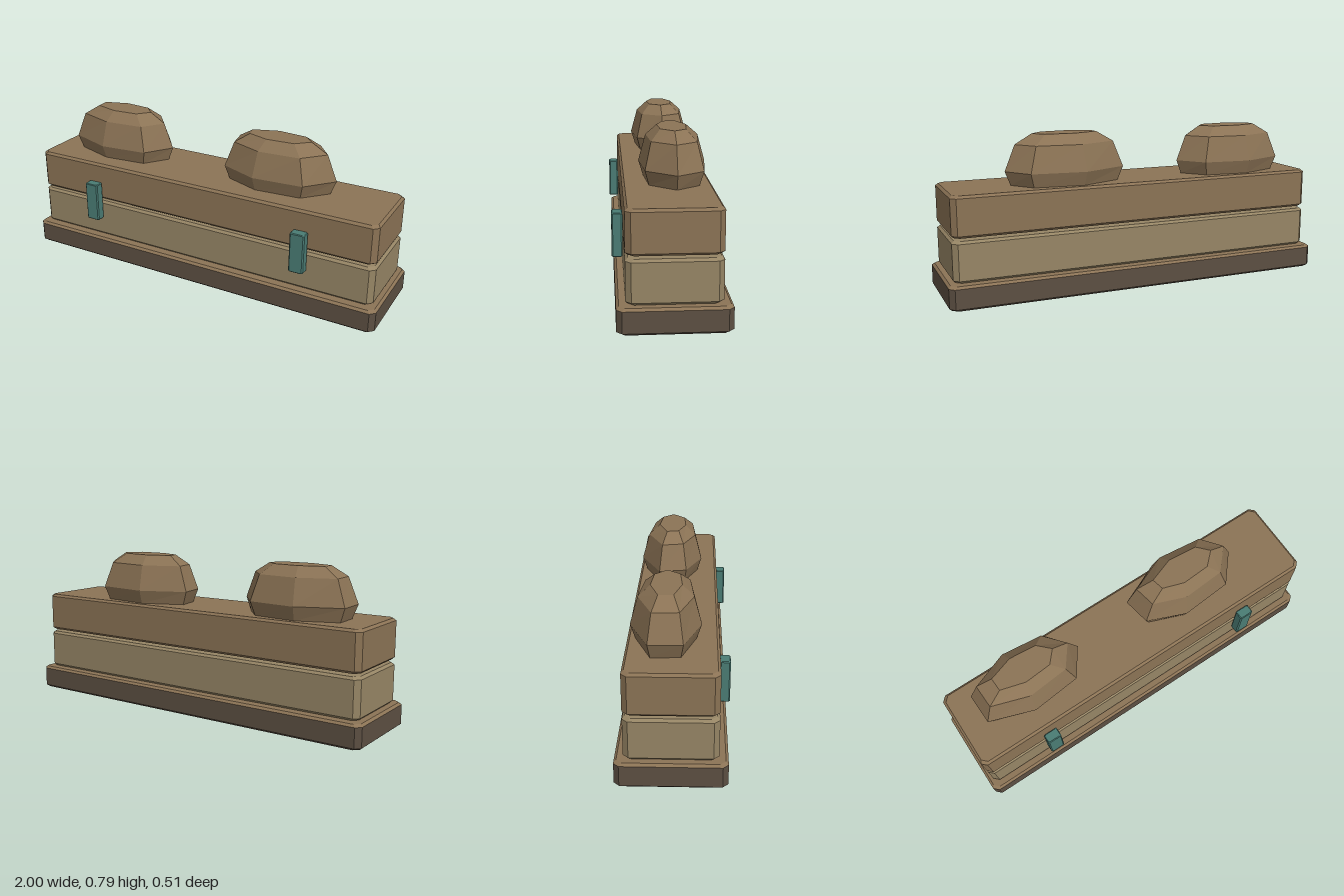
import * as THREE from 'three';

const TAN = 0x8b7355, PALE = 0x968565, DARK = 0x5c4f42, TEAL = 0x4a7c74;

// Flat-shaded solid through stacked rings (bottom to top), closed at both ends
function loft(name, rings, color) {
  const pos = [];
  const n = rings[0].length;
  const tri = (a, b, c) => pos.push(...a, ...b, ...c);
  for (let k = 0; k + 1 < rings.length; k++) {
    for (let i = 0; i < n; i++) {
      const j = (i + 1) % n, lo = rings[k], hi = rings[k + 1];
      tri(lo[i], hi[i], lo[j]);
      tri(lo[j], hi[i], hi[j]);
    }
  }
  const first = rings[0], last = rings[rings.length - 1];
  for (let i = 1; i + 1 < n; i++) {
    tri(first[0], first[i], first[i + 1]);
    tri(last[0], last[i + 1], last[i]);
  }
  const geo = new THREE.BufferGeometry();
  geo.setAttribute('position', new THREE.Float32BufferAttribute(pos, 3));
  geo.computeVertexNormals();
  const mesh = new THREE.Mesh(geo, new THREE.MeshStandardMaterial({ color, flatShading: true }));
  mesh.name = name;
  return mesh;
}

// Rectangle with cut corners, half sizes hx and hz
function cutRect(hx, hz, cut, y) {
  return [
    [hx, y, hz - cut], [hx - cut, y, hz], [cut - hx, y, hz], [-hx, y, hz - cut],
    [-hx, y, cut - hz], [cut - hx, y, -hz], [hx - cut, y, -hz], [hx, y, cut - hz],
  ];
}

// Box with cut upright corners and bevelled top and bottom edges
function block(name, hx, hz, y0, y1, cut, bevel, color) {
  const small = y => cutRect(hx - bevel, hz - bevel, cut, y);
  const full = y => cutRect(hx, hz, cut, y);
  return loft(name, [small(y0), full(y0 + bevel), full(y1 - bevel), small(y1)], color);
}

// Faceted boulder: its widest outline [x, z], scaled about a centre at each level
function boulder(name, outline, cx, cz) {
  const levels = [
    [0.525, 0.88, 0.82], [0.54, 0.91, 0.86], [0.61, 1, 1], [0.74, 0.83, 0.78], [0.79, 0.55, 0.44],
  ];
  const rings = levels.map(([y, sx, sz]) =>
    outline.map(([x, z]) => [cx + (x - cx) * sx, y, cz + (z - cz) * sz]));
  return loft(name, rings, TAN);
}

export function createModel() {
  const model = new THREE.Group();
  model.name = 'stoneWall';

  // Plinth with its lighter bevelled top
  const zMid = -0.005;
  const plinth = loft('plinth', [
    cutRect(0.986, 0.236, 0.025, 0), cutRect(1, 0.25, 0.025, 0.012), cutRect(1, 0.25, 0.025, 0.11),
  ], DARK);
  const plinthTop = loft('plinthTop', [
    cutRect(1, 0.25, 0.025, 0.11), cutRect(0.988, 0.238, 0.025, 0.121),
  ], TAN);

  // Two stone courses with a narrow gap between them
  const lower = block('lowerCourse', 0.97, 0.21, 0.123, 0.325, 0.025, 0.012, PALE);
  const upper = block('upperCourse', 0.97, 0.21, 0.338, 0.54, 0.025, 0.012, TAN);
  for (const part of [plinth, plinthTop, lower, upper]) {
    part.position.z = zMid;
    model.add(part);
  }

  // Clips across the front joint
  for (const [name, x] of [['rightClip', -0.602], ['leftClip', 0.598]]) {
    const clip = block(name, 0.038, 0.025, 0.23, 0.437, 0.006, 0.004, TEAL);
    clip.position.set(x, 0, 0.232);
    model.add(clip);
  }

  // Boulders on top
  model.add(boulder('rightBoulder', [
    [-0.84, -0.11], [-0.62, -0.2], [-0.37, -0.172], [-0.265, -0.04],
    [-0.36, 0.098], [-0.61, 0.124], [-0.835, 0.045],
  ], -0.56, -0.035));
  model.add(boulder('leftBoulder', [
    [0.07, -0.1], [0.3, -0.202], [0.575, -0.17], [0.67, -0.04],
    [0.55, 0.1], [0.29, 0.12], [0.095, 0.04],
  ], 0.36, -0.035));

  return model;
}
